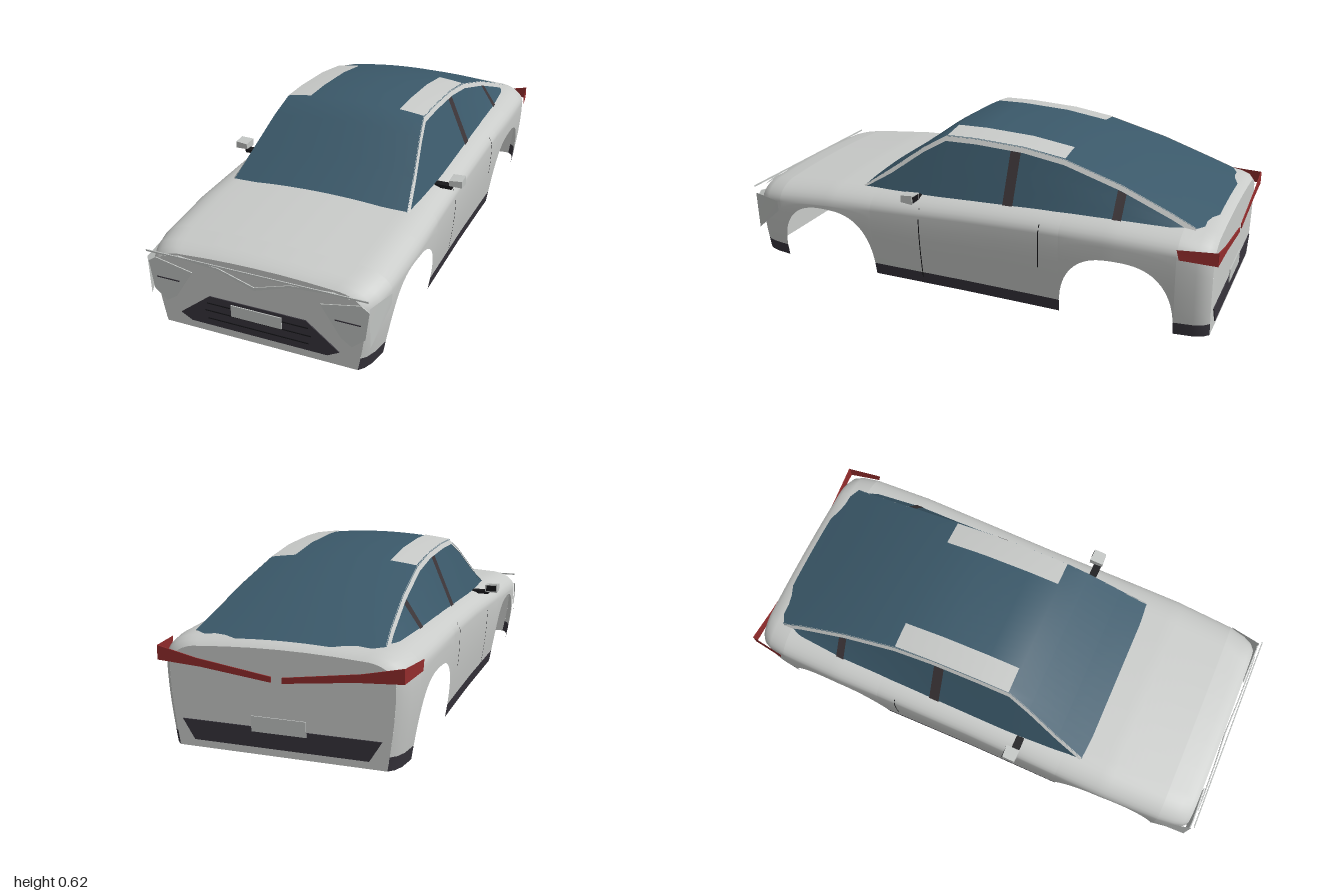
import * as THREE from 'three';

const mat = (name, color) => Object.assign(
  new THREE.MeshStandardMaterial({ color, side: THREE.DoubleSide }), { name });

// Linear interpolation in a table of rows [z, a, b, ...] with falling z
function pick(table, z) {
  let i = 0;
  while (i < table.length - 2 && z < table[i + 1][0]) i++;
  const a = table[i], b = table[i + 1];
  const t = THREE.MathUtils.clamp((z - a[0]) / (b[0] - a[0]), 0, 1);
  return a.slice(1).map((v, k) => v + (b[k + 1] - v) * t);
}

// Surface from rows of points [x, y, z]
function skin(rows) {
  const n = rows[0].length, index = [];
  for (let i = 0; i < rows.length - 1; i++) {
    for (let j = 0; j < n - 1; j++) {
      const a = i * n + j, b = a + n;
      index.push(a, b, a + 1, b, b + 1, a + 1);
    }
  }
  const g = new THREE.BufferGeometry();
  g.setAttribute('position', new THREE.Float32BufferAttribute(rows.flat(2), 3));
  g.setIndex(index);
  g.computeVertexNormals();
  return g;
}
const steps = (n, a, b) => Array.from({ length: n + 1 }, (_, i) => a + (b - a) * i / n);

// Body: z, half width, shoulder height
const BODY = [
  [0.975, 0.41, 0.298], [0.955, 0.428, 0.312], [0.92, 0.442, 0.322], [0.85, 0.454, 0.334],
  [0.6, 0.463, 0.357], [0.4, 0.462, 0.366], [0, 0.457, 0.385], [-0.3, 0.459, 0.396],
  [-0.6, 0.463, 0.402], [-0.85, 0.457, 0.396], [-0.92, 0.447, 0.388], [-0.955, 0.432, 0.38],
  [-0.975, 0.41, 0.365]];
// Greenhouse: z, centre height, edge x, edge height, base x
const CABIN = [
  [0.485, 0.378, 0.37, 0.355, 0.372], [0.36, 0.462, 0.346, 0.442, 0.382], [0.22, 0.565, 0.317, 0.545, 0.388],
  [0.13, 0.62, 0.30, 0.597, 0.39], [0, 0.623, 0.30, 0.60, 0.39], [-0.2, 0.615, 0.30, 0.592, 0.39],
  [-0.37, 0.592, 0.303, 0.568, 0.39], [-0.6, 0.53, 0.318, 0.505, 0.39],
  [-0.8, 0.455, 0.337, 0.432, 0.38], [-0.89, 0.418, 0.35, 0.396, 0.365]];

const ARCHES = [0.625, -0.627], ARCH_R = 0.222, ARCH_H = 0.263, SILL = 0.05;
// Height of the lower body edge, raised over the wheel openings
function lowerEdge(z) {
  for (const c of ARCHES) {
    const u = Math.abs(z - c) / ARCH_R;
    if (u < 1) return ARCH_H * Math.pow(1 - Math.pow(u, 2.6), 1 / 2.6);
  }
  return 0;
}
function wallX(z, y) {
  const [w, top] = pick(BODY, z);
  return w * (0.93 + 0.07 * Math.sin(Math.PI / 2 * Math.min(1, y / (top - 0.075))));
}
// Half section from the lower edge over the shoulder to the centre line
function halfSection(z, low) {
  const [w, top] = pick(BODY, z);
  const pts = steps(5, low, top - 0.075).map(y => [wallX(z, y), y, z]);
  for (const a of steps(8, 0, Math.PI / 2).slice(1)) {
    pts.push([w * (0.72 + 0.28 * Math.cos(a)), top - 0.075 * (1 - Math.sin(a)), z]);
  }
  for (const f of [0.66, 0.33, 0]) pts.push([w * 0.72 * f, top + 0.012 * (1 - f * f), z]);
  return pts;
}
const fullSection = (z, low) => {
  const h = halfSection(z, low);
  return [...h, ...h.slice(0, -1).reverse().map(([x, y, q]) => [-x, y, q])];
};

function roofPoint(z, x, lift = 0) {
  const [yc, xe, ye] = pick(CABIN, z);
  return [x, yc + (ye - yc) * (x / xe) ** 2 + lift, z];
}
// Side window point, v = 0 below the rail and v = 1 at the belt
function sidePoint(z, v, s, lift = 0) {
  const [, xe, ye, xb] = pick(CABIN, z);
  const base = Math.min(pick(BODY, z)[1] - 0.014, ye);
  const top = Math.max(ye - 0.018, base);
  return [s * (xe + 0.006 + (xb - xe - 0.006) * v + lift), top + (base - top) * v, z];
}

export function createModel() {
  const car = new THREE.Group();
  car.name = 'carBody';
  const paint = mat('silverPaint', 0xc9cbc9), glass = mat('blueGlass', 0x3b596a);
  const trim = mat('darkTrim', 0x37343c), black = mat('blackGap', 0x17171a);
  const red = mat('redLamp', 0x922c2c), pillar = mat('pillarTrim', 0x3c3538);
  const lamp = mat('lampSilver', 0xc2c5c3);

  const add = (name, geometry, material) => {
    const m = new THREE.Mesh(geometry, material);
    m.name = name;
    car.add(m);
    return m;
  };
  // Thin plate facing along z, from x,y corners
  const plate = (name, pts, z, material, depth = 0.004) => {
    const shape = new THREE.Shape(pts.map(p => new THREE.Vector2(...p)));
    const g = new THREE.ExtrudeGeometry(shape, { depth, bevelEnabled: false });
    return add(name, g.translate(0, 0, z), material);
  };
  const mirrored = (pts, s) => pts.map(([x, ...r]) => [s * x, ...r]);
  // Symmetric outline from its right half, listed top to bottom
  const both = pts => [...pts, ...mirrored(pts, -1).reverse()];

  // Stations along the body, packed closely around the wheel arch ends
  const zs = BODY.map(r => r[0]).filter(z => ARCHES.every(c => Math.abs(z - c) > ARCH_R));
  for (const c of ARCHES) {
    for (const a of steps(28, 0, Math.PI)) zs.push(c + ARCH_R * Math.cos(a));
  }
  zs.push(0.2, -0.15);
  zs.sort((a, b) => b - a);
  add('bodyShell', skin(zs.map(z => fullSection(z, Math.max(SILL, lowerEdge(z))))), paint);
  for (const s of [1, -1]) {
    add('sill', skin(zs.map(z => steps(2, Math.min(SILL, lowerEdge(z)), SILL)
      .map(y => [s * wallX(z, y), y, z]))), trim);
  }

  // Flat nose and tail panels
  for (const [name, z] of [['nosePanel', 0.975], ['tailPanel', -0.975]]) {
    const outline = fullSection(z, 0).map(p => new THREE.Vector2(p[0], p[1]));
    add(name, new THREE.ShapeGeometry(new THREE.Shape(outline)).translate(0, 0, z), paint);
  }

  // Windscreen, roof and rear window in one sweep
  const cabinZ = CABIN.map(r => r[0]);
  const roofRows = cabinZ.map(z => steps(16, -1, 1).map(f => roofPoint(z, f * pick(CABIN, z)[1])));
  roofRows.push(roofRows.at(-1).map(([x, y, z]) => {
    const t = 1 - THREE.MathUtils.smoothstep(Math.abs(x), 0.17, 0.25) * 0.55;
    const k = Math.abs(x) > 0.34 ? 0 : t;
    return [x, y - 0.02 * k, z - 0.05 * k];
  }));
  add('roofGlass', skin(roofRows), glass);

  for (const s of [1, -1]) {
    // Side windows, roof rails and pillars
    add('sideWindow', skin(cabinZ.map(z => steps(3, 0, 1).map(v => sidePoint(z, v, s)))), glass);
    add('roofRail', skin(cabinZ.map(z => {
      const [, xe, ye] = pick(CABIN, z);
      return [[s * (xe - 0.003), ye + 0.002, z], sidePoint(z, 0, s, 0.002)];
    })), paint);
    for (const [z0, z1] of [[-0.15, -0.192], [-0.588, -0.622]]) {
      add('doorPillar', skin([z0, z1].map(z => [0, 1].map(v => sidePoint(z, v, s, 0.003)))), pillar);
    }
    // Roof panels
    add('roofPanel', skin([0.125, 0, -0.2, -0.37].map(z =>
      steps(4, 0.195, 0.298).map(x => roofPoint(z, s * x, 0.004)))), paint);

    // Door gaps
    for (const [z, y0, y1] of [[0.182, 0.03, 0.335], [-0.325, 0.18, 0.355]]) {
      add('doorGap', skin([z + 0.002, z - 0.002].map(q => steps(6, y0, y1).map(y => {
        const [w, top] = pick(BODY, q);
        const k = Math.max(0, (y - top + 0.075) / 0.075);
        const x = k ? w * (0.72 + 0.28 * Math.sqrt(1 - k * k)) : wallX(q, y);
        return [s * (x + 0.002), y, q];
      }))), black);
    }

    // Door mirrors
    const arm = add('mirrorArm', new THREE.BoxGeometry(0.07, 0.014, 0.032), black);
    arm.position.set(s * 0.422, 0.364, 0.217);
    const head = new THREE.BoxGeometry(0.052, 0.037, 0.05);
    const p = head.attributes.position;
    for (let i = 0; i < p.count; i++) {
      if (p.getX(i) * s < 0) p.setXYZ(i, p.getX(i), p.getY(i) * 0.8, p.getZ(i) * 1.15);
      if (p.getZ(i) > 0) p.setY(i, p.getY(i) * 0.75);
    }
    head.computeVertexNormals();
    add('mirrorHead', head, lamp).position.set(s * 0.473, 0.386, 0.21);
    add('mirrorGlass', new THREE.BoxGeometry(0.042, 0.024, 0.004), black)
      .position.set(s * 0.474, 0.386, 0.183);

    // Headlamps with a side return
    plate('headlamp', mirrored([[0.40, 0.27], [0.25, 0.24], [0.325, 0.125], [0.365, 0.098],
      [0.415, 0.14], [0.43, 0.25]], s), 0.984, lamp);
    plate('lampSlot', mirrored([[0.305, 0.191], [0.4, 0.191], [0.4, 0.195], [0.305, 0.195]], s), 0.989, trim, 0.002);
    add('headlampReturn', skin([[[s * 0.432, 0.268, 0.99], [s * 0.432, 0.11, 0.985]],
      [[s * 0.46, 0.26, 0.86], [s * 0.457, 0.215, 0.86]]]), lamp);

    // Tail lamps with a side return
    plate('tailLamp', mirrored([[0.445, 0.36], [0.3, 0.328], [0.02, 0.288], [0.02, 0.268],
      [0.28, 0.298], [0.445, 0.308]], s), -0.995, red);
    add('tailLampReturn', skin([[[s * 0.445, 0.36, -0.993], [s * 0.445, 0.308, -0.993]],
      [[s * 0.467, 0.356, -0.85], [s * 0.467, 0.318, -0.86]]]), red);
  }

  // Nose trim strips
  plate('noseStrip', both([[0.43, 0.3], [0.43, 0.294]]), 0.994, lamp);
  plate('noseChevron', [[0, 0.242], [0.14, 0.285], [0.3, 0.298], [0.36, 0.286], [0.3, 0.29], [0.14, 0.277],
    [0, 0.23], [-0.14, 0.277], [-0.3, 0.29], [-0.36, 0.286], [-0.3, 0.298], [-0.14, 0.285]], 0.986, lamp);

  // Grille, slats and number plates
  plate('grille', both([[0.19, 0.153], [0.315, 0.057], [0.27, 0.033]]), 0.977, trim);
  for (const [y, w] of [[0.125, 0.2], [0.094, 0.21], [0.062, 0.2]]) {
    plate('grilleSlat', both([[w, y + 0.002], [w, y - 0.002]]), 0.981, black, 0.002);
  }
  plate('frontNumberPlate', both([[0.1, 0.143], [0.1, 0.097]]), 0.984, lamp);
  plate('rearDiffuser', both([[0.365, 0.1], [0.32, 0.028]]), -0.981, trim);
  plate('rearNumberPlate', both([[0.1, 0.14], [0.1, 0.085]]), -0.986, lamp);
  return car;
}
